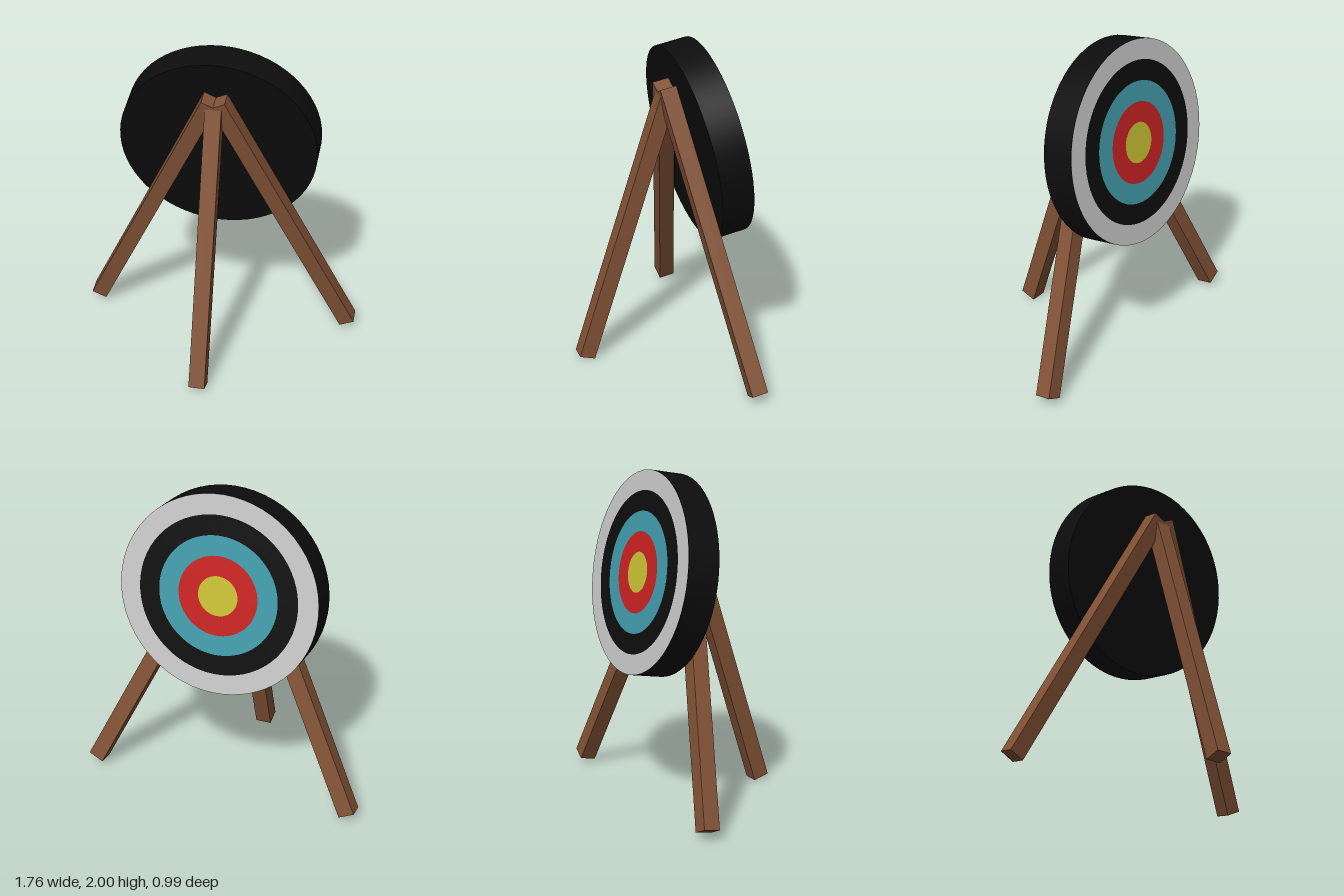
import * as THREE from 'three';

const mat = (name, color) => {
  const m = new THREE.MeshStandardMaterial({ color });
  m.name = name;
  return m;
};

export function createModel() {
  const wood = mat('brown wood', 0x80513a === 0 ? 0 : 0x825236);
  const black = mat('black', 0x0d0d0d);
  const white = mat('pale grey', 0xc8c8c8);
  const teal = mat('teal', 0x429bab);
  const red = mat('red', 0xc82222);
  const yellow = mat('yellow', 0xc8c034);

  const model = new THREE.Group();
  model.name = 'archeryTarget';

  // Square beam between two points
  const beam = (name, from, to) => {
    const dir = to.clone().sub(from);
    const mesh = new THREE.Mesh(new THREE.BoxGeometry(0.1, dir.length(), 0.1), wood);
    mesh.name = name;
    mesh.position.copy(from).add(to).multiplyScalar(0.5);
    mesh.quaternion.setFromUnitVectors(new THREE.Vector3(0, 1, 0), dir.normalize());
    return mesh;
  };

  // Tilted assembly: disc with the two side legs lying flat against it
  const tilted = new THREE.Group();
  tilted.name = 'tiltedBoard';
  tilted.position.set(0, 1.385, -0.289);
  tilted.rotation.x = THREE.MathUtils.degToRad(10);
  model.add(tilted);

  const R = 0.61;
  const disc = new THREE.Mesh(new THREE.CylinderGeometry(R, R, 0.198, 64), black);
  disc.name = 'disc';
  disc.rotation.x = Math.PI / 2;
  disc.position.z = 0.001;
  tilted.add(disc);

  // Concentric scoring rings on the rear face
  const rings = [
    ['outerRing', 0.488, R, white],
    ['blackRing', 0.366, 0.488, black],
    ['tealRing', 0.244, 0.366, teal],
    ['redRing', 0.122, 0.244, red],
  ];
  for (const [name, inner, outer, material] of rings) {
    const ring = new THREE.Mesh(new THREE.RingGeometry(inner, outer, 64), material);
    ring.name = name;
    ring.rotation.y = Math.PI;
    ring.position.z = -0.1;
    tilted.add(ring);
  }
  const bullseye = new THREE.Mesh(new THREE.CircleGeometry(0.122, 64), yellow);
  bullseye.name = 'bullseye';
  bullseye.rotation.y = Math.PI;
  bullseye.position.z = -0.1;
  tilted.add(bullseye);

  // Side legs
  for (const [name, s] of [['leftLeg', 1], ['rightLeg', -1]]) {
    tilted.add(beam(name,
      new THREE.Vector3(s * 0.835, -1.329, 0.151),
      new THREE.Vector3(s * 0.025, 0.389, 0.151)));
  }

  // Prop leg
  model.add(beam('propLeg',
    new THREE.Vector3(0, 0.016, 0.452),
    new THREE.Vector3(0, 1.7, -0.08)));

  return model;
}
